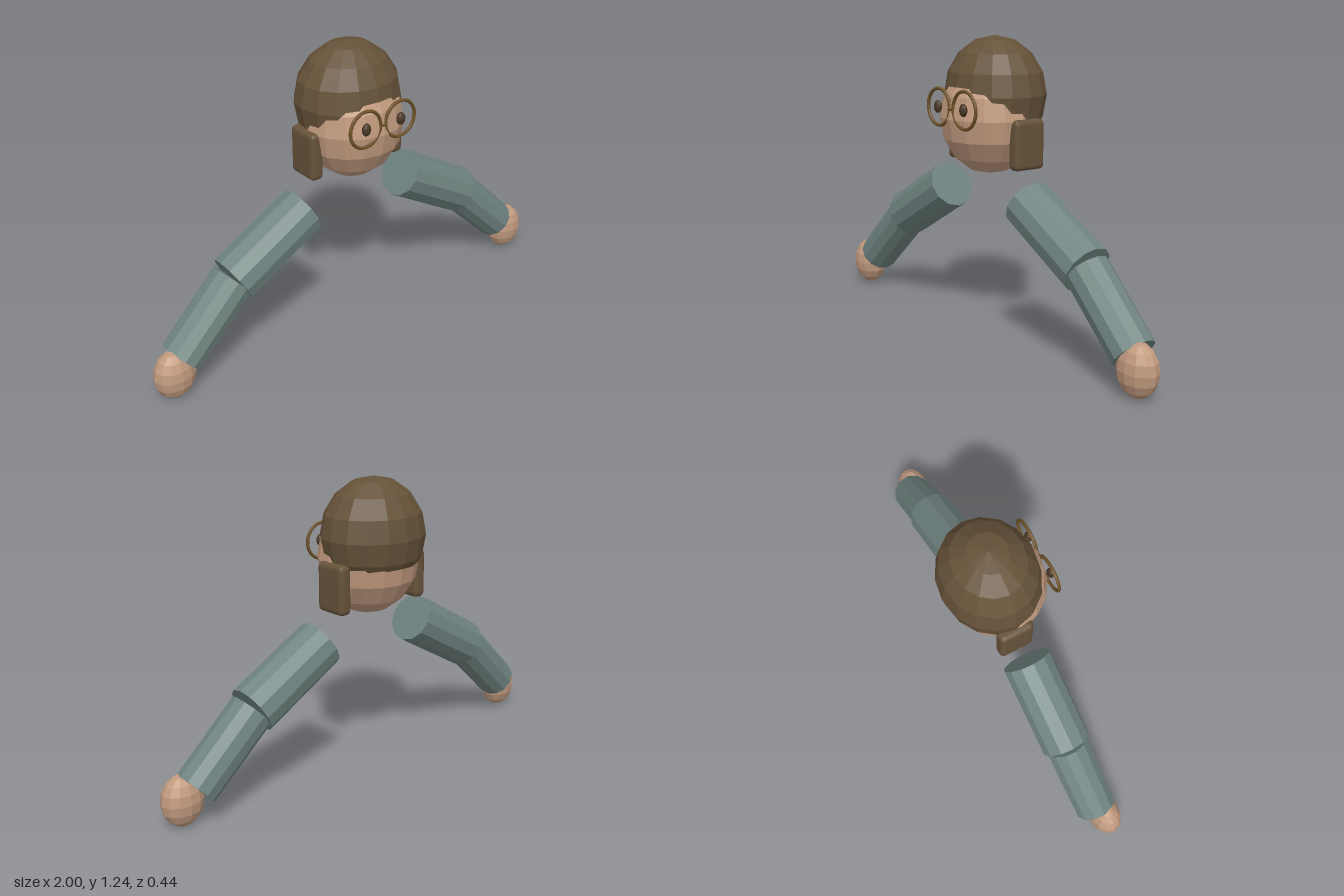
import * as THREE from 'three';
import { RoundedBoxGeometry } from 'three/addons/geometries/RoundedBoxGeometry.js';

const V = (x, y, z) => new THREE.Vector3(x, y, z);

function material(name, color) {
  const m = new THREE.MeshStandardMaterial({ color });
  m.name = name;
  m.flatShading = true;
  return m;
}

export function createModel() {
  const model = new THREE.Group();
  model.name = 'figure';
  const skin = material('skin', 0xc19a7e);
  const hairBrown = material('hairBrown', 0x665239);
  const sleeveTeal = material('sleeveTeal', 0x708481);
  const frameBronze = material('frameBronze', 0x6e5229);
  const eyeBrown = material('eyeBrown', 0x4a3826);

  const add = (name, geometry, mat, position) => {
    const mesh = new THREE.Mesh(geometry, mat);
    mesh.name = name;
    mesh.position.copy(position);
    model.add(mesh);
    return mesh;
  };

  // Faceted ellipsoid
  const ellipsoid = (name, mat, position, radii, w = 16, h = 8) =>
    add(name, new THREE.SphereGeometry(1, w, h).scale(...radii), mat, position);

  // Tapered closed cylinder running from a to b
  const limb = (name, mat, a, b, ra, rb, sides = 12) => {
    const dir = b.clone().sub(a);
    const mesh = add(name, new THREE.CylinderGeometry(rb, ra, dir.length(), sides), mat,
      a.clone().add(b).multiplyScalar(0.5));
    mesh.quaternion.setFromUnitVectors(V(0, 1, 0), dir.normalize());
    return mesh;
  };

  // Head with a cap of hair set up and back
  ellipsoid('head', skin, V(0, 0.907, 0.008), [0.215, 0.236, 0.203]);
  ellipsoid('hair', hairBrown, V(0, 1.0, -0.02), [0.228, 0.237, 0.2]);

  // Bridge of the glasses
  limb('glassesBridge', frameBronze, V(-0.016, 0.948, 0.203), V(0.016, 0.948, 0.203), 0.006, 0.006, 8);

  for (const [side, s] of [['left', 1], ['right', -1]]) {
    // Face details
    add(side + 'GlassesRim', new THREE.TorusGeometry(0.075, 0.007, 8, 28), frameBronze, V(s * 0.087, 0.952, 0.2));
    ellipsoid(side + 'Eye', eyeBrown, V(s * 0.087, 0.953, 0.205), [0.02, 0.026, 0.015], 12, 8);

    // Side hair block beside the cheek
    add(side + 'SideHair', new RoundedBoxGeometry(0.058, 0.203, 0.147, 2, 0.02), hairBrown, V(s * 0.207, 0.812, -0.018));

    // Arm
    const shoulder = V(s * 0.257, 0.588, 0.016);
    const elbow = V(s * 0.604, 0.393, 0.016);
    const wrist = V(s * 0.866, 0.146, 0.028);
    limb(side + 'UpperSleeve', sleeveTeal, shoulder, elbow, 0.104, 0.105);
    limb(side + 'LowerSleeve', sleeveTeal, elbow, wrist, 0.091, 0.088);
    ellipsoid(side + 'Hand', skin, V(s * 0.912, 0.105, 0.053), [0.088, 0.105, 0.068], 12, 8);
  }
  return model;
}
